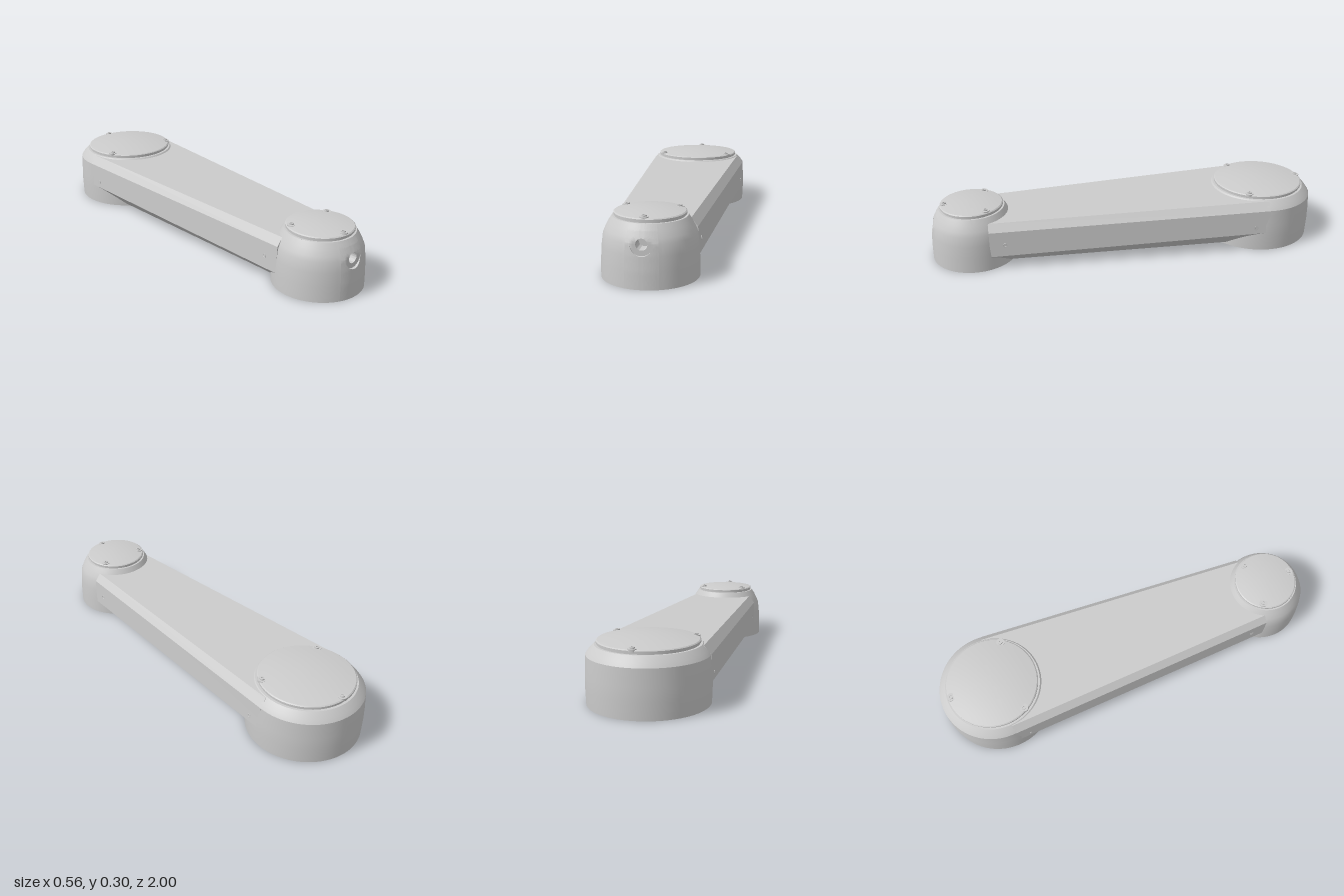
import * as THREE from 'three';
import { toCreasedNormals } from 'three/addons/utils/BufferGeometryUtils.js';

const material = new THREE.MeshStandardMaterial({ color: 0xcccccc });
const SEGMENTS = 72;
const GAP = 0.35; // half angle of the front panel that holds the port

function part(name, geometry, crease = 0.45) {
  const mesh = new THREE.Mesh(toCreasedNormals(geometry, crease), material);
  mesh.name = name;
  return mesh;
}

function lathe(name, profile, start = 0, length = Math.PI * 2, segments = SEGMENTS) {
  const points = profile.map(([r, y]) => new THREE.Vector2(r, y));
  return part(name, new THREE.LatheGeometry(points, segments, start, length));
}

// Indexed surface from closed rows of points; it faces the side from which
// the first row runs counter-clockwise around the next
function loft(rows) {
  const n = rows[0].length;
  const index = [];
  for (let j = 0; j < rows.length - 1; j++) {
    for (let i = 0; i < n; i++) {
      const k = (i + 1) % n;
      const a = j * n + i, b = j * n + k, c = b + n, d = a + n;
      index.push(a, b, c, a, c, d);
    }
  }
  const geometry = new THREE.BufferGeometry();
  geometry.setAttribute('position', new THREE.Float32BufferAttribute(rows.flat(2), 3));
  geometry.setIndex(index);
  return geometry;
}

function radiusAt(profile, y) {
  for (let i = 1; i < profile.length; i++) {
    const [r0, y0] = profile[i - 1], [r1, y1] = profile[i];
    if (y <= y1) return r0 + (r1 - r0) * (y - y0) / (y1 - y0);
  }
  return profile[profile.length - 1][0];
}

// Front panel of the small hub: wraps the shell around a counterbored port
function frontPanel(profile) {
  const top = profile[profile.length - 1][1];
  const portY = 0.187, outer = 0.048, bore = 0.025, floor = 0.196, depth = 0.13;

  // Outline in (angle, height); its sides share the heights of the shell profile
  const heights = [];
  for (let i = 1; i < profile.length; i++) {
    const y0 = profile[i - 1][1], y1 = profile[i][1];
    for (let k = 0; k < 4; k++) heights.push(y0 + (y1 - y0) * k / 4);
  }
  const across = Array.from({ length: 20 }, (_, i) => -GAP + 2 * GAP * i / 20);
  const edge = [
    ...across.map((p) => [p, 0]),
    ...heights.map((y) => [GAP, y]),
    ...across.map((p) => [-p, top]),
    ...[...heights.slice(1), top].reverse().map((y) => [-GAP, y]),
  ];
  const angles = edge.map(([p, y]) => Math.atan2(y - portY, 0.21 * p));

  const rows = [];
  for (let j = 0; j <= 12; j++) {
    rows.push(edge.map(([p, y], i) => {
      const cy = portY + outer * Math.sin(angles[i]);
      const cp = Math.asin(outer * Math.cos(angles[i]) / radiusAt(profile, cy));
      const phi = p + (cp - p) * j / 12, h = y + (cy - y) * j / 12;
      const r = radiusAt(profile, h);
      return [r * Math.sin(phi), h, r * Math.cos(phi)];
    }));
  }
  const ring = (r, z) => angles.map((a) => {
    const x = r * Math.cos(a), y = portY + r * Math.sin(a);
    const shell = Math.sqrt(radiusAt(profile, y) ** 2 - x * x);
    return [x, y, Math.min(z, shell)];
  });
  rows.push(ring(outer, floor), ring((outer + bore) / 2, floor), ring(bore, floor));
  rows.push(ring(bore, depth), ring(0, depth));
  return part('frontPort', loft(rows), 0.6);
}

// Small socket-head screw with its collar
function screw(x, y, z) {
  const mesh = lathe('lidScrew', [[0.021, -0.012], [0.021, 0.001], [0.011, 0.001], [0.011, 0.007],
    [0.006, 0.007], [0.006, 0.002], [0, 0.002]], 0, Math.PI * 2, 16);
  mesh.position.set(x, y, z);
  return mesh;
}

function hub({ name, z, shell, lid, crown, screwRadius, turn, port }) {
  const group = new THREE.Group();
  group.name = name;
  group.position.z = z;
  const [topR, topY] = shell[shell.length - 1];
  if (port) {
    group.add(lathe('shell', shell, GAP, Math.PI * 2 - 2 * GAP), frontPanel(shell));
  } else {
    group.add(lathe('shell', shell));
  }
  group.add(lathe('base', [[0, 0], [shell[0][0], 0]]));

  // Domed lid sitting in a narrow groove
  const rim = 0.285;
  const dome = [];
  for (let i = 0; i <= 6; i++) {
    const t = 1 - i / 6;
    dome.push([(lid - 0.005) * t, crown - (crown - rim) * t * t]);
  }
  group.add(lathe('lid', [[topR, topY], [lid - 0.004, topY], [lid - 0.004, topY + 0.006],
    [lid, topY + 0.006], [lid, rim - 0.004], ...dome]));

  // Three screws around the lid
  const screwY = crown - (crown - rim) * (screwRadius / lid) ** 2;
  for (let i = 0; i < 3; i++) {
    const a = turn + i * Math.PI * 2 / 3;
    group.add(screw(screwRadius * Math.sin(a), screwY, screwRadius * Math.cos(a)));
  }
  return group;
}

// Arm cross-section: bevelled top and bottom edges
function section({ z, bottom, low, high, top, yLow, yHigh, yTop }) {
  const half = [[bottom, 0.012], [low, yLow], [high, yHigh], [top, yTop]];
  const mirrored = half.map(([x, y]) => [-x, y]).reverse();
  return [...half, ...mirrored].map(([x, y]) => [x, y, z]);
}

// Tapered arm; its ends are buried in the hubs and closed along the centre line
function arm() {
  const front = section({ z: 0.715, bottom: 0.13, low: 0.199, high: 0.195, top: 0.165,
    yLow: 0.07, yHigh: 0.2, yTop: 0.238 });
  const back = section({ z: -0.7, bottom: 0.185, low: 0.278, high: 0.275, top: 0.243,
    yLow: 0.1, yHigh: 0.222, yTop: 0.263 });
  const closed = (row) => row.map(([, y, z]) => [0, y, z]);
  return part('arm', loft([closed(back), back, front, closed(front)]), 0.1);
}

export function createModel() {
  const model = new THREE.Group();
  model.name = 'crankArm';
  model.add(arm());

  model.add(hub({
    name: 'largeHub', z: -0.72, lid: 0.229, crown: 0.304, screwRadius: 0.212, turn: Math.PI / 3,
    shell: [[0.277, 0], [0.28, 0.08], [0.279, 0.14], [0.275, 0.222], [0.262, 0.241], [0.237, 0.266]],
  }));
  model.add(hub({
    name: 'smallHub', z: 0.786, lid: 0.157, crown: 0.298, screwRadius: 0.133, turn: 0, port: true,
    shell: [[0.214, 0], [0.213, 0.075], [0.209, 0.14], [0.203, 0.19], [0.194, 0.212], [0.18, 0.24], [0.163, 0.266]],
  }));

  // Little round fasteners on both flanks
  for (const side of [-1, 1]) {
    for (const z of [0.64, -0.63]) {
      const pin = lathe('sidePin', [[0.011, -0.006], [0.011, 0.001], [0.007, 0.001], [0.006, 0], [0, 0]],
        0, Math.PI * 2, 14);
      const x = 0.197 + 0.0793 * (0.715 - z) / 1.415;
      pin.position.set(side * (x + 0.001), 0.13, z);
      pin.rotation.z = -side * Math.PI / 2;
      model.add(pin);
    }
  }
  return model;
}
